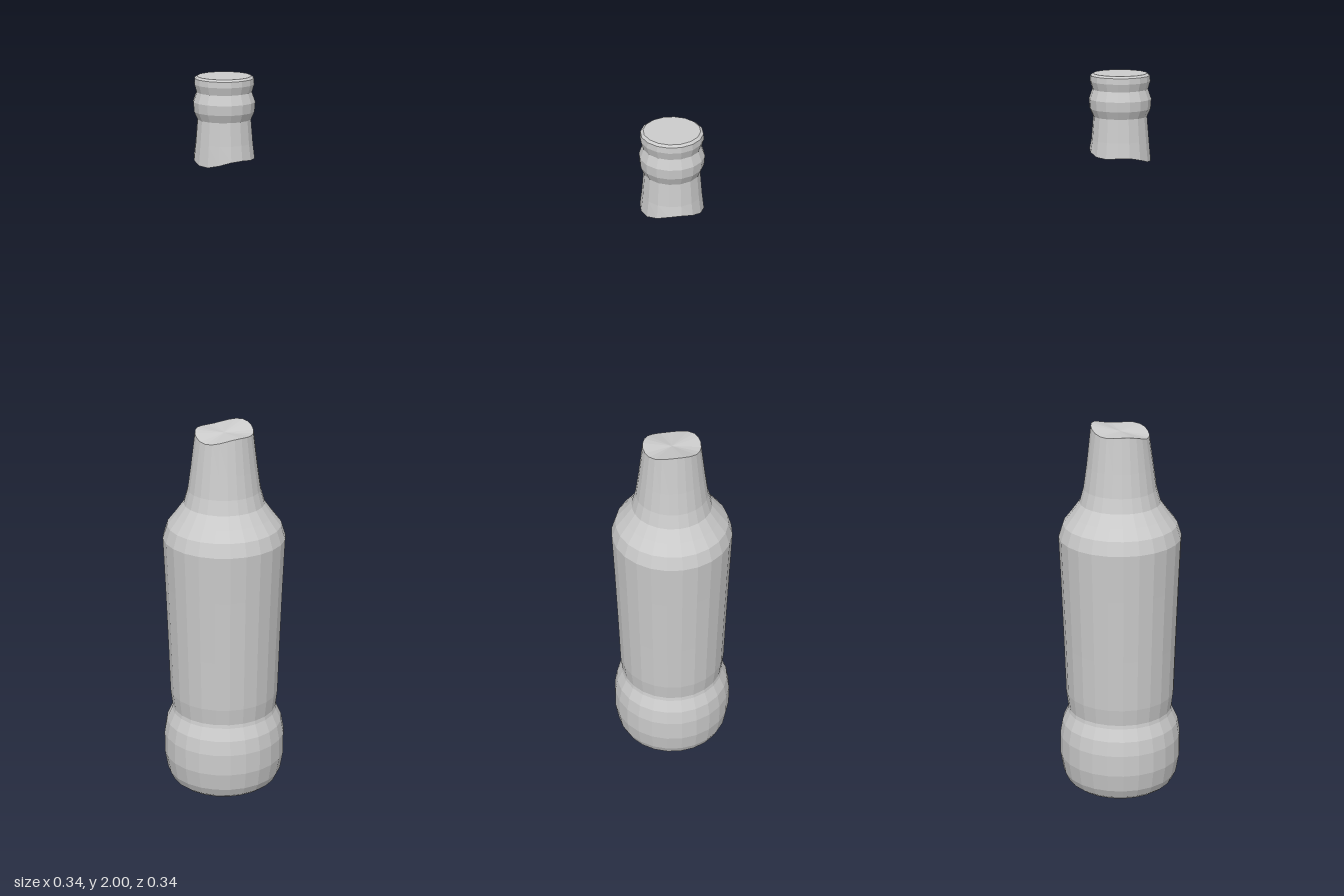
import * as THREE from 'three';

const material = new THREE.MeshStandardMaterial({ color: 0xcccccc, flatShading: true });

// Uneven break: raised towards the back right, with a small ripple
const breakAngle = Math.atan2(0.5, -0.87);
const fracture = (x, z) => {
  const a = Math.atan2(x, z) - breakAngle;
  return 0.01 * Math.cos(a) + 0.006 * Math.cos(3 * a);
};

// Closed turned solid; vertices of the ring at height breakY follow the fracture
function turned(name, profile, sides, breakY) {
  const geometry = new THREE.LatheGeometry(profile.map(([r, y]) => new THREE.Vector2(r, y)), sides);
  const p = geometry.attributes.position;
  for (let i = 0; i < p.count; i++) {
    const x = p.getX(i), z = p.getZ(i);
    if (Math.abs(p.getY(i) - breakY) < 1e-4 && Math.hypot(x, z) > 0.01) {
      p.setY(i, breakY + fracture(x, z));
    }
  }
  geometry.computeVertexNormals();
  const mesh = new THREE.Mesh(geometry, material);
  mesh.name = name;
  return mesh;
}

export function createModel() {
  const group = new THREE.Group();
  group.name = 'brokenBottle';

  // Body: foot, groove, tapered label area, shoulder and broken neck
  group.add(turned('bottleBody', [
    [0, 0], [0.135, 0], [0.15, 0.012], [0.161, 0.035], [0.17, 0.085], [0.17, 0.145],
    [0.163, 0.185], [0.148, 0.218], [0.146, 0.228], [0.152, 0.275], [0.157, 0.42],
    [0.164, 0.6], [0.17, 0.735], [0.158, 0.773], [0.135, 0.803], [0.112, 0.835],
    [0.101, 0.875], [0.092, 0.94], [0.08, 1.039], [0, 1.036],
  ], 24, 1.039));

  // Separated top of the neck with its ring and closed lip
  group.add(turned('neckTop', [
    [0, 1.8], [0.08, 1.79], [0.075, 1.83], [0.07, 1.89], [0.079, 1.91],
    [0.081, 1.935], [0.072, 1.96], [0.078, 1.98], [0.077, 1.995], [0.07, 2], [0, 2],
  ], 16, 1.79));

  return group;
}
